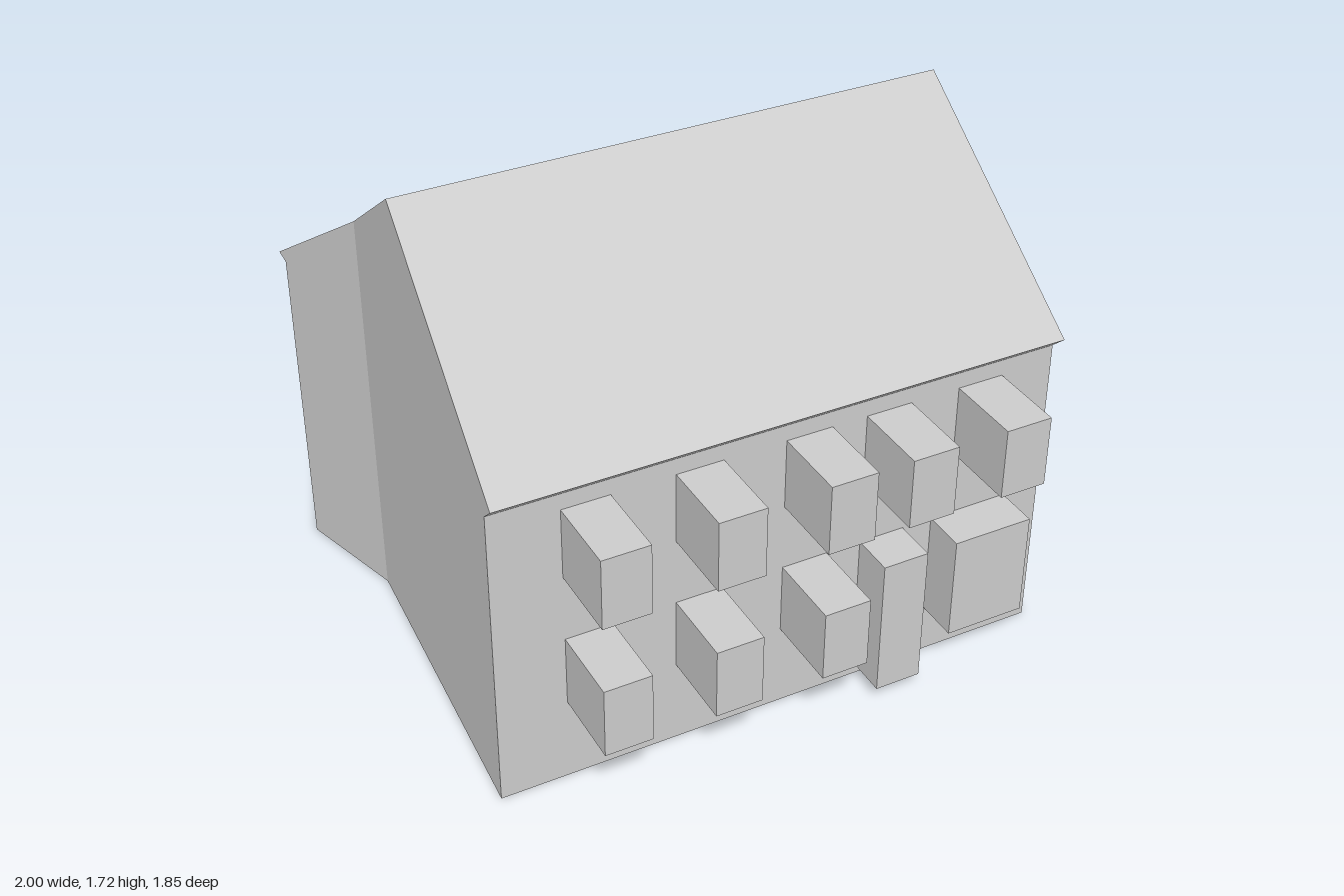
import * as THREE from 'three';

// Left side of the house is bent: x of the left wall at a given z
const KINK = -0.5;
const leftX = (z) => z >= KINK
  ? -0.87 - 0.075 * (z - KINK) / 1.215
  : -0.87 - 0.13 * (KINK - z) / 0.425;

// Gable outline as [z, y], counter-clockwise seen from +x
const FRONT_FOOT = [0.66, 0], BACK_FOOT = [-0.895, 0];
const BACK_TOP = [-0.895, 1.12], BACK_EAVE = [-0.925, 1.145];
const RIDGE = [-0.1, 1.72];
const FRONT_EAVE = [0.715, 1.14], FRONT_TOP = [0.66, 1.09];
const KINK_FOOT = [KINK, 0], KINK_ROOF = [KINK, 1.439];

const leftPoint = ([z, y]) => [leftX(z), y, z];
const rightPoint = ([z, y]) => [1, y, z];

// Faces running from the left side to the right side along part of the outline
function strip(outline) {
  const out = [];
  for (let i = 0; i < outline.length - 1; i++) {
    const [a, b] = [outline[i], outline[i + 1]];
    out.push(rightPoint(a), leftPoint(a), leftPoint(b));
    out.push(rightPoint(a), leftPoint(b), rightPoint(b));
  }
  return out;
}

// Flat end face filling an outline, on the left or the right side
function gable(outline, left) {
  const contour = outline.map(([z, y]) => new THREE.Vector2(-z, y));
  const toPoint = left ? leftPoint : rightPoint;
  return THREE.ShapeUtils.triangulateShape(contour, []).flatMap((t) =>
    (left ? [t[0], t[2], t[1]] : t).map((i) => toPoint(outline[i])));
}

function solid(name, points, material) {
  const geometry = new THREE.BufferGeometry();
  geometry.setAttribute('position', new THREE.Float32BufferAttribute(points.flat(), 3));
  geometry.computeVertexNormals();
  const mesh = new THREE.Mesh(geometry, material);
  mesh.name = name;
  return mesh;
}

export function createModel() {
  const house = new THREE.Group();
  house.name = 'house';
  const grey = new THREE.MeshStandardMaterial({ color: 0xcccccc });
  grey.name = 'plain grey';

  // Main shell
  house.add(solid('floor', strip([FRONT_FOOT, KINK_FOOT, BACK_FOOT]), grey));
  house.add(solid('backWall', strip([BACK_FOOT, BACK_TOP]), grey));
  house.add(solid('frontWall', strip([FRONT_TOP, FRONT_FOOT]), grey));
  house.add(solid('roof',
    strip([BACK_TOP, BACK_EAVE, KINK_ROOF, RIDGE, FRONT_EAVE, FRONT_TOP]), grey));

  // Gable ends; the left one folds at the kink
  const frontPart = [FRONT_FOOT, KINK_FOOT, KINK_ROOF, RIDGE, FRONT_EAVE, FRONT_TOP];
  const backPart = [KINK_FOOT, BACK_FOOT, BACK_TOP, BACK_EAVE, KINK_ROOF];
  house.add(solid('rightGable', [...gable(frontPart, false), ...gable(backPart, false)], grey));
  house.add(solid('leftGable', [...gable(frontPart, true), ...gable(backPart, true)], grey));

  // Blocks standing out from the front wall
  function block(name, x0, x1, y0, y1, zFront) {
    const zBack = 0.65;
    const mesh = new THREE.Mesh(
      new THREE.BoxGeometry(x1 - x0, y1 - y0, zFront - zBack), grey);
    mesh.position.set((x0 + x1) / 2, (y0 + y1) / 2, (zFront + zBack) / 2);
    mesh.name = name;
    house.add(mesh);
  }
  const columns = [-0.628, -0.255, 0.118, 0.4, 0.733];
  columns.forEach((x, i) => {
    block('upperWindow', x - 0.08, x + 0.08, 0.785, 1.033, 0.925);
    if (i < 3) block('lowerWindow', x - 0.08, x + 0.08, 0.3, 0.55, 0.925);
  });
  block('door', 0.32, 0.48, 0.05, 0.55, 0.81);
  block('shopWindow', 0.587, 0.867, 0.18, 0.55, 0.81);

  return house;
}
